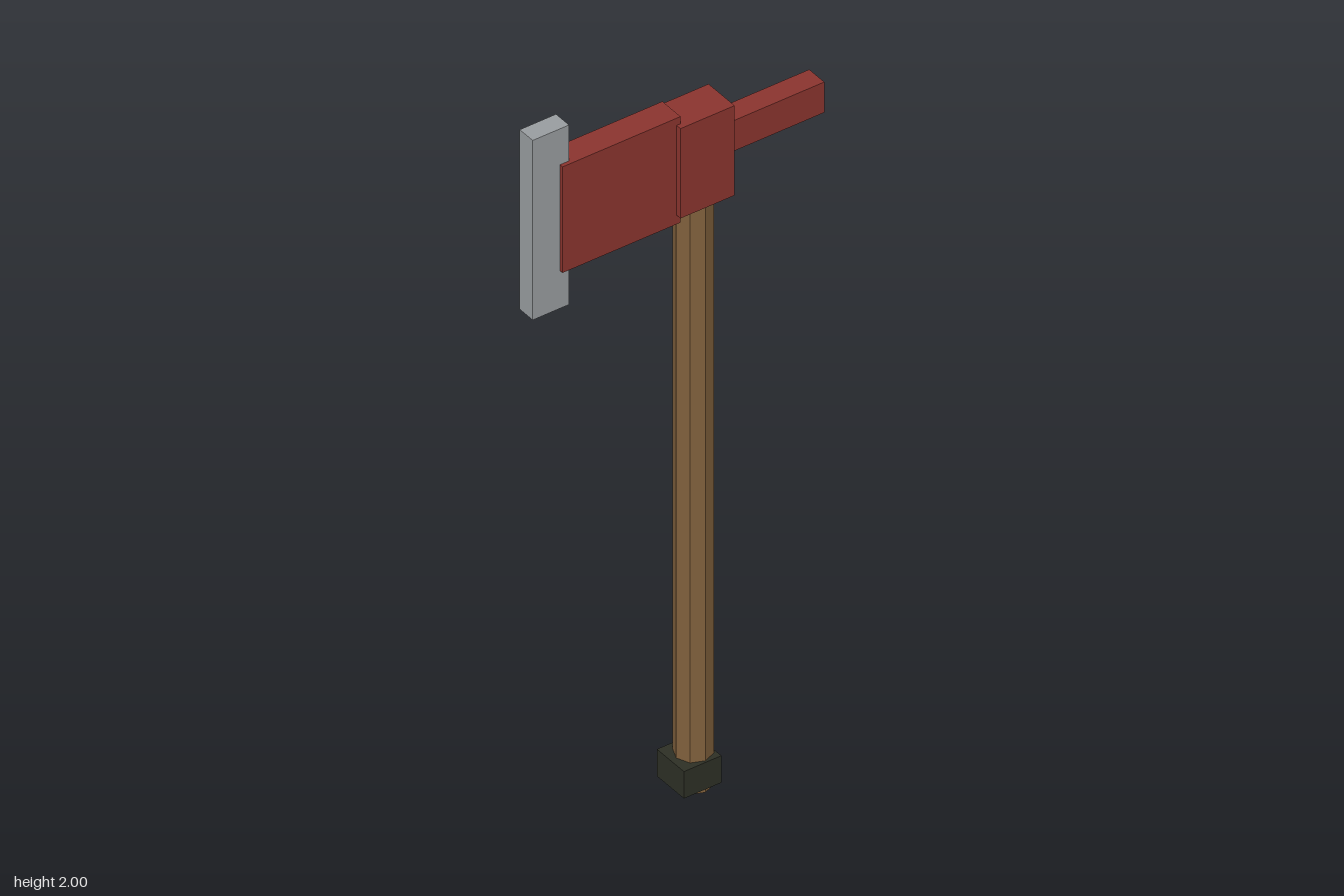
import * as THREE from 'three';

function material(name, color) {
  const m = new THREE.MeshStandardMaterial({ color });
  m.name = name;
  return m;
}

export function createModel() {
  const group = new THREE.Group();
  group.name = 'axe';

  const wood = material('brown wood', 0x80603c);
  const red = material('red paint', 0x8a342e);
  const steel = material('grey steel', 0x989c9f);
  const dark = material('dark rubber', 0x2d2f25);
  wood.flatShading = true;

  // Block given by its half width and its y and z ranges
  function block(name, mat, halfX, y0, y1, z0, z1) {
    const mesh = new THREE.Mesh(new THREE.BoxGeometry(halfX * 2, y1 - y0, z1 - z0), mat);
    mesh.position.set(0, (y0 + y1) / 2, (z0 + z1) / 2);
    mesh.name = name;
    group.add(mesh);
  }

  // Eight-sided shaft, running up into the head
  const handle = new THREE.Mesh(new THREE.CylinderGeometry(0.047, 0.047, 1.75, 8), wood);
  handle.position.set(0, 0.875, -0.06);
  handle.name = 'handle';
  group.add(handle);

  // Grip end, with the rear ridge of the shaft showing through
  block('pommel', dark, 0.052, 0.013, 0.088, -0.1, 0.003);

  // Head
  block('headSocket', red, 0.05, 1.63, 1.88, -0.138, 0.011);
  block('bladeCheek', red, 0.035, 1.605, 1.9, 0, 0.325);
  block('cuttingEdge', steel, 0.025, 1.5, 2, 0.3, 0.4);
  block('rearSpike', red, 0.029, 1.735, 1.82, -0.4, -0.12);

  return group;
}
